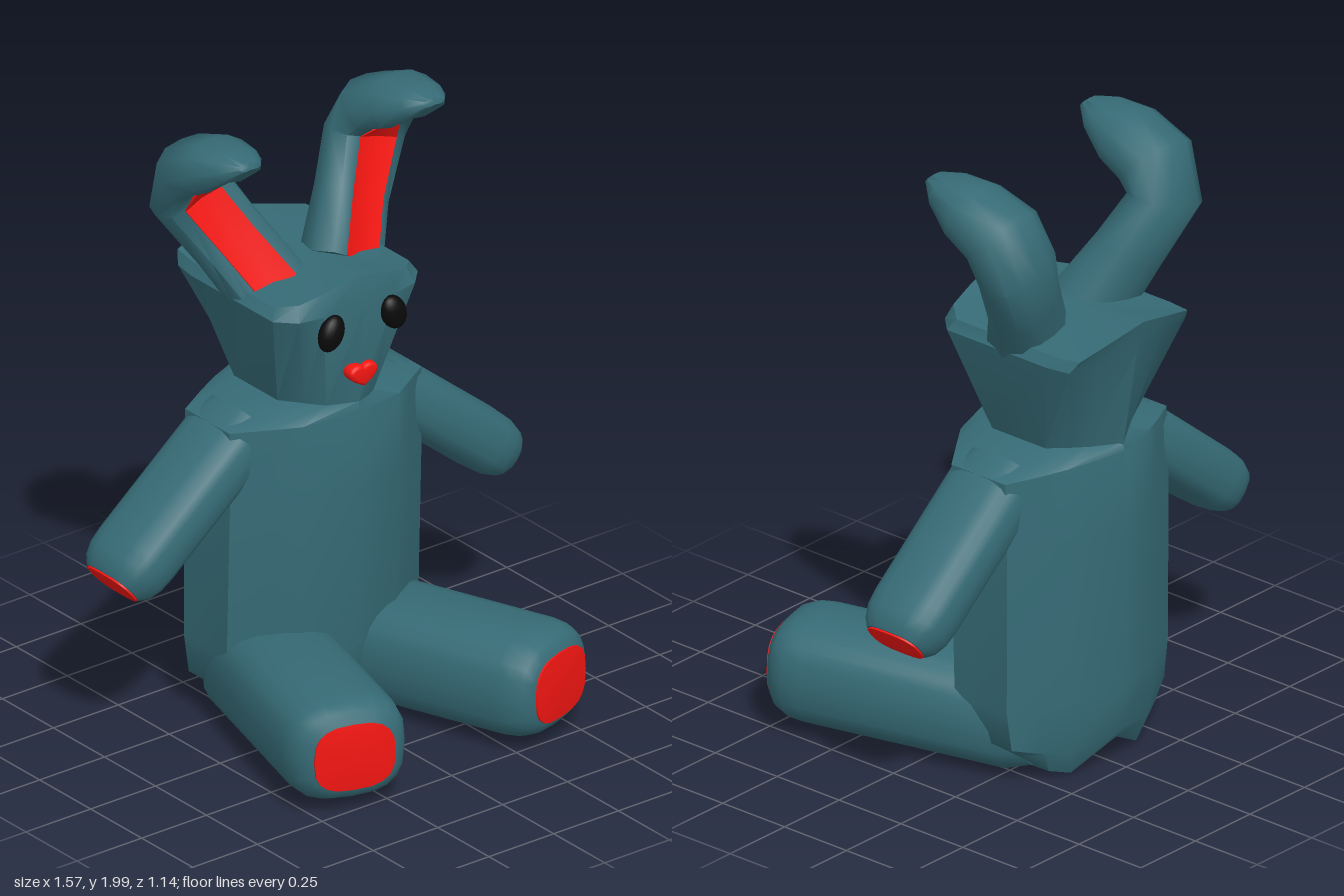
import * as THREE from 'three';
import { toCreasedNormals } from 'three/addons/utils/BufferGeometryUtils.js';

const V = (x, y, z) => new THREE.Vector3(x, y, z);
const fur = new THREE.MeshStandardMaterial({ color: 0x366b76 });
const red = new THREE.MeshStandardMaterial({ color: 0xf41612 });
const black = new THREE.MeshStandardMaterial({ color: 0x0a0a0a });

// Closed solid skinned over equal-sized rings; winding is fixed by signed volume
function loft(rings, crease = 0.8) {
  const n = rings[0].length;
  const pts = rings.flat();
  const centre = (ring) => ring.reduce((s, p) => s.add(p), V(0, 0, 0)).divideScalar(n);
  const last = rings.length - 1;
  const c0 = pts.push(rings[0].capCentre || centre(rings[0])) - 1;
  const c1 = pts.push(rings[last].capCentre || centre(rings[last])) - 1;
  const tris = [];
  for (let j = 0; j < n; j++) {
    const k = (j + 1) % n;
    tris.push([c0, k, j], [c1, last * n + j, last * n + k]);
    for (let i = 0; i < last; i++) {
      const a = i * n + j, b = i * n + k;
      tris.push([a, b, b + n], [a, b + n, a + n]);
    }
  }
  let volume = 0;
  for (const [a, b, c] of tris) volume += pts[a].dot(pts[b].clone().cross(pts[c]));
  const index = tris.flatMap(([a, b, c]) => (volume < 0 ? [a, c, b] : [a, b, c]));
  const geo = new THREE.BufferGeometry().setFromPoints(pts);
  geo.setIndex(index);
  return toCreasedNormals(geo, crease);
}

function add(parent, name, geo, material) {
  const mesh = new THREE.Mesh(geo, material);
  mesh.name = name;
  parent.add(mesh);
  return mesh;
}

// Half outlines as [x factor, z factor], front centre to back centre
const bodyOutline = [[0, 1], [0.5, 0.84], [0.72, 0.64], [1, 0.38], [1, -0.42], [0.72, -0.62], [0.5, -0.76], [0, -1]];
const headOutline = [[0, 1], [0.5, 0.94], [0.8, 0.89], [1, 0.7], [1, -0.6], [0.95, -0.87], [0.5, -0.935], [0, -1]];

// Horizontal ring from a half outline, mirrored in x; drop lowers the sides, dip the middle of each half
function bodyRing({ outline = bodyOutline, y, w, zf, zb, drop = 0, dip = 0, cap }) {
  const mid = (zf + zb) / 2, half = (zf - zb) / 2;
  const side = outline.map(([u, t]) =>
    V(u * w, y - drop * u - dip * Math.sin(Math.PI * u), mid + t * half));
  const other = side.slice(1, -1).reverse().map((p) => V(-p.x, p.y, p.z));
  const ring = [...side, ...other];
  if (cap) ring.capCentre = V(0, cap, mid);
  return ring;
}

// Rounded-box section swept from start to end, rounded at the tip, with a red pad
function addLimb(group, name, padName, { start, end, u, v, padU, padV }) {
  const N = 20;
  const dir = end.clone().sub(start).normalize();
  const soft = (a) => Math.sign(a) * Math.pow(Math.abs(a), 0.7);
  const ring = (base, offset, su, sv = su) => Array.from({ length: N }, (_, i) => {
    const a = (i / N) * Math.PI * 2;
    return base.clone().addScaledVector(dir, offset)
      .addScaledVector(u, su * soft(Math.cos(a)))
      .addScaledVector(v, sv * soft(Math.sin(a)));
  });
  add(group, name, loft([
    ring(start, 0, 0.85), ring(start, 0.08, 1), ring(end, -0.12, 1), ring(end, -0.07, 0.97),
    ring(end, -0.03, 0.87), ring(end, -0.005, padU + 0.04, padV + 0.04),
  ]), fur);
  add(group, padName, loft([
    ring(end, -0.02, padU, padV), ring(end, 0.001, padU, padV), ring(end, 0.006, padU * 0.6, padV * 0.6),
  ]), red);
}

// Ear stations: centre, width direction, half width, half thickness
const earStations = [
  [V(0.14, 1.43, -0.22), V(0.85, -0.53, 0), 0.13, 0.12],
  [V(0.24, 1.6, -0.295), V(0.85, -0.53, 0), 0.125, 0.095],
  [V(0.338, 1.76, -0.355), V(0.95, -0.3, 0), 0.138, 0.09],
  [V(0.352, 1.865, -0.305), V(1, -0.08, 0), 0.135, 0.1],
  [V(0.355, 1.915, -0.19), V(1, 0, 0), 0.122, 0.09],
  [V(0.355, 1.955, -0.09), V(1, 0, 0), 0.085, 0.05],
  [V(0.355, 1.975, -0.035), V(1, 0, 0), 0.04, 0.014],
];
const earSection = [[1, 0], [0.85, 0.6], [0.52, 0.72], [0, 0.58], [-0.52, 0.72], [-0.85, 0.6],
  [-1, 0], [-0.86, -0.62], [-0.48, -0.94], [0, -1], [0.48, -0.94], [0.86, -0.62]];
const liningSection = [[0.52, 0.77], [0, 0.65], [-0.52, 0.77], [-0.52, 0.4], [0.52, 0.4]];

function earRings(section, count, side, tipScale = 1) {
  return earStations.slice(0, count).map(([c, w, hw, ht], i) => {
    const before = earStations[Math.max(i - 1, 0)][0];
    const after = earStations[Math.min(i + 1, earStations.length - 1)][0];
    const width = w.clone().normalize();
    const front = width.clone().cross(after.clone().sub(before)).normalize();
    const k = i === count - 1 ? tipScale : 1;
    return section.map(([a, b]) => {
      const p = c.clone().addScaledVector(width, a * hw * k).addScaledVector(front, b * ht);
      p.x *= side;
      return p;
    });
  });
}

export function createModel() {
  const model = new THREE.Group();
  model.name = 'sittingToyRabbit';

  // Torso, with two rounded lobes and a groove underneath
  add(model, 'torso', loft([
    { y: 0.1, w: 0.3, zf: -0.22, zb: -0.22, dip: 0.09, cap: 0.1 },
    { y: 0.1, w: 0.3, zf: -0.02, zb: -0.46, dip: 0.085 },
    { y: 0.14, w: 0.35, zf: 0.01, zb: -0.49, dip: 0.04 },
    { y: 0.27, w: 0.37, zf: 0.03, zb: -0.495 },
    { y: 0.82, w: 0.37, zf: 0.06, zb: -0.51 },
    { y: 1.07, w: 0.37, zf: 0.05, zb: -0.495, drop: 0.03 },
    { y: 1.1, w: 0.17, zf: 0.045, zb: -0.485 },
  ].map(bodyRing)), fur);

  // Head, flaring up from a pointed neck
  add(model, 'head', loft([
    { y: 1.06, w: 0.17, zf: 0.04, zb: -0.48 },
    { y: 1.1, w: 0.185, zf: 0.045, zb: -0.49 },
    { outline: headOutline, y: 1.43, w: 0.28, zf: 0.07, zb: -0.545 },
    { outline: headOutline, y: 1.53, w: 0.26, zf: 0.05, zb: -0.57, drop: 0.065, cap: 1.5 },
  ].map(bodyRing), 0.6), fur);

  // Heart-shaped nose
  const heart = new THREE.Shape();
  heart.moveTo(0, -0.025);
  heart.bezierCurveTo(0.02, -0.015, 0.045, 0, 0.042, 0.014);
  heart.bezierCurveTo(0.038, 0.032, 0.008, 0.03, 0, 0.018);
  heart.bezierCurveTo(-0.008, 0.03, -0.038, 0.032, -0.042, 0.014);
  heart.bezierCurveTo(-0.045, 0, -0.02, -0.015, 0, -0.025);
  const noseGeo = new THREE.ExtrudeGeometry(heart, {
    depth: 0.025, bevelSize: 0.01, bevelThickness: 0.012, bevelSegments: 3, curveSegments: 6,
  });
  add(model, 'nose', toCreasedNormals(noseGeo, 0.8), red).position.set(0, 1.2, 0.04);

  for (const side of [1, -1]) {
    const label = side > 0 ? 'left' : 'right';

    add(model, label + 'Ear', loft(earRings(earSection, 7, side), 1), fur);
    add(model, label + 'EarLining', loft(earRings(liningSection, 4, side, 0.65)), red);

    const eye = add(model, label + 'Eye', new THREE.SphereGeometry(1, 20, 14), black);
    eye.scale.set(0.043, 0.06, 0.032);
    eye.position.set(side * 0.12, 1.375, 0.062);
    eye.rotation.z = side * 0.4;

    // Arm slopes down and out from the shoulder
    addLimb(model, label + 'Arm', label + 'HandPad', {
      start: V(side * 0.24, 1.017, -0.222), end: V(side * 0.744, 0.606, -0.222),
      u: V(side * 0.0632, 0.0775, 0), v: V(0, 0, 0.142), padU: 0.62, padV: 0.7,
    });

    // Leg points forward and splays outward
    addLimb(model, label + 'Leg', label + 'FootPad', {
      start: V(side * 0.14, 0.176, -0.3), end: V(side * 0.398, 0.208, 0.532),
      u: V(side * 0.184, 0, -0.059), v: V(0, 0.166, 0), padU: 0.68, padV: 0.66,
    });
  }
  return model;
}
